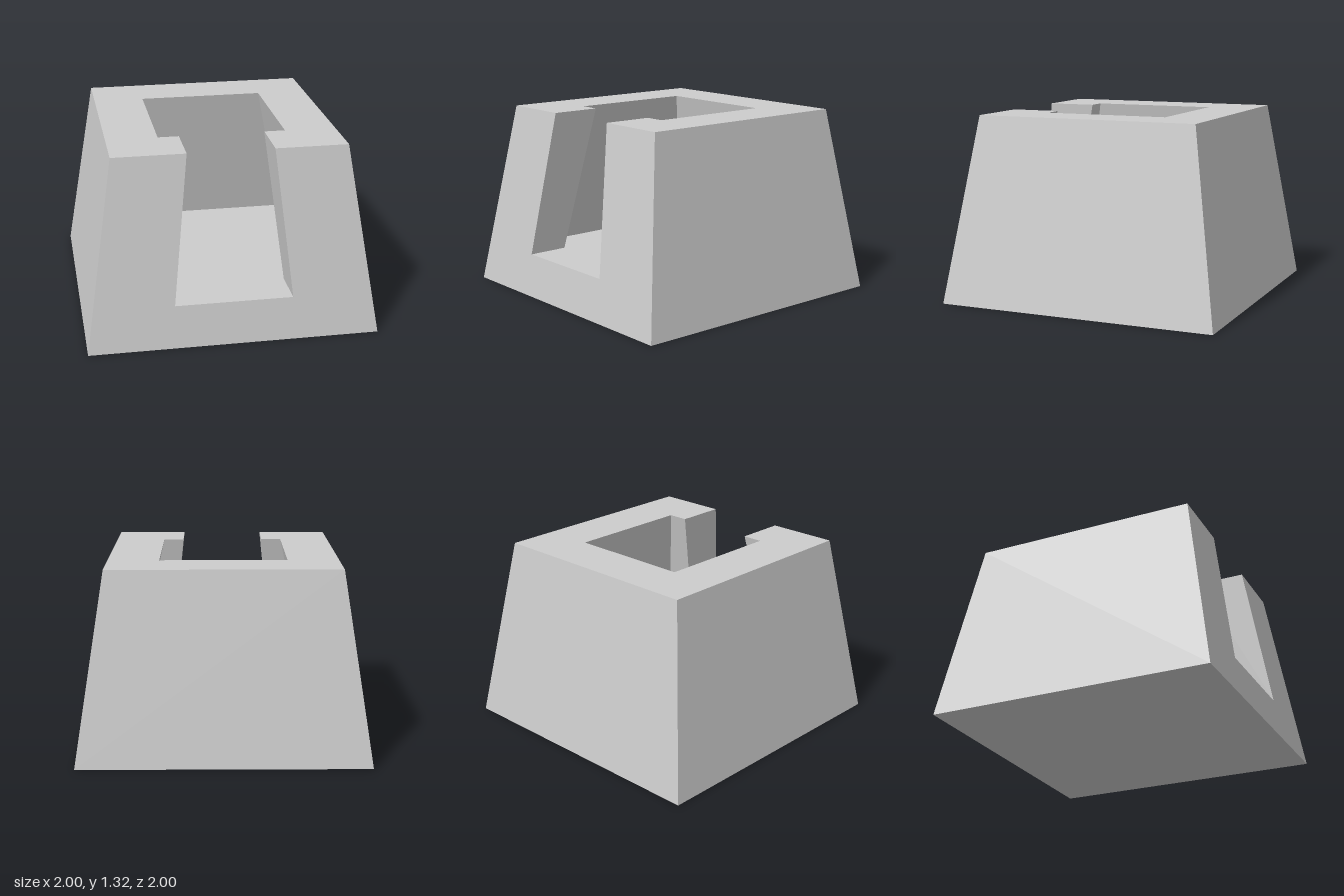
import * as THREE from 'three';

const H = 1.315;      // overall height
const FLOOR = 0.295;  // height of the recess floor
const TOP = 0.795;    // half width of the top
const SILL = 1 - (1 - TOP) * FLOOR / H; // front face depth at floor height

// Builds one flat-shaded geometry from planar polygons, each facing its outward direction
function buildFaces(faces) {
  const positions = [];
  for (const { points, out } of faces) {
    const corners = points.map(p => new THREE.Vector3(...p));
    const normal = new THREE.Vector3(...out);
    const flat = corners.map(c =>
      out[0] ? new THREE.Vector2(c.y, c.z) : out[1] ? new THREE.Vector2(c.x, c.z) : new THREE.Vector2(c.x, c.y));
    for (const [i, j, k] of THREE.ShapeUtils.triangulateShape(flat, [])) {
      const a = corners[i];
      let b = corners[j], c = corners[k];
      const n = b.clone().sub(a).cross(c.clone().sub(a));
      if (n.dot(normal) < 0) [b, c] = [c, b];
      for (const v of [a, b, c]) positions.push(v.x, v.y, v.z);
    }
  }
  const geometry = new THREE.BufferGeometry();
  geometry.setAttribute('position', new THREE.Float32BufferAttribute(positions, 3));
  geometry.computeVertexNormals();
  return geometry;
}

// Completes a right-hand outline with its mirror image across x = 0
const mirrored = half => [...half, ...half.map(([x, y, z]) => [-x, y, z]).reverse()];

export function createModel() {
  const group = new THREE.Group();
  group.name = 'taperedBlock';
  const grey = new THREE.MeshStandardMaterial({ color: 0xcccccc });
  grey.name = 'lightGrey';

  // Outer faces: base, back, notched front and C-shaped rim
  const outer = [
    { points: mirrored([[1, 0, -1], [1, 0, 1]]), out: [0, -1, 0] },
    { points: mirrored([[1, 0, -1], [TOP, H, -TOP]]), out: [0, 0, -1] },
    { points: mirrored([[1, 0, 1], [TOP, H, TOP], [0.295, H, TOP], [0.405, FLOOR, SILL]]), out: [0, 0, 1] },
    { points: mirrored([[TOP, H, -TOP], [TOP, H, TOP], [0.295, H, TOP], [0.295, H, 0.445],
      [0.44, H, 0.445], [0.44, H, -0.445]]), out: [0, 1, 0] },
  ];

  // Recess: back wall, pit floor and entrance sill; the pit widens downwards
  const recess = [
    { points: mirrored([[0.44, H, -0.445], [0.667, FLOOR, -0.667]]), out: [0, 0, 1] },
    { points: mirrored([[0.667, FLOOR, -0.667], [0.667, FLOOR, 0.667], [0.405, FLOOR, 0.667]]), out: [0, 1, 0] },
    { points: mirrored([[0.405, FLOOR, 0.667], [0.405, FLOOR, SILL]]), out: [0, 1, 0] },
  ];

  // Left and right: outer side, pit side, pit front wall and entrance cheek
  for (const s of [-1, 1]) {
    outer.push({ points: [[s, 0, 1], [s, 0, -1], [s * TOP, H, -TOP], [s * TOP, H, TOP]], out: [s, 0, 0] });
    recess.push(
      { points: [[s * 0.667, FLOOR, 0.667], [s * 0.667, FLOOR, -0.667], [s * 0.44, H, -0.445], [s * 0.44, H, 0.445]], out: [-s, 0, 0] },
      { points: [[s * 0.405, FLOOR, 0.667], [s * 0.667, FLOOR, 0.667], [s * 0.44, H, 0.445], [s * 0.295, H, 0.445]], out: [0, 0, -1] },
      { points: [[s * 0.405, FLOOR, SILL], [s * 0.405, FLOOR, 0.667], [s * 0.295, H, 0.445], [s * 0.295, H, TOP]], out: [-s, 0, 0] },
    );
  }

  const body = new THREE.Mesh(buildFaces([...outer, ...recess]), grey);
  body.name = 'hollowBody';
  group.add(body);
  return group;
}
